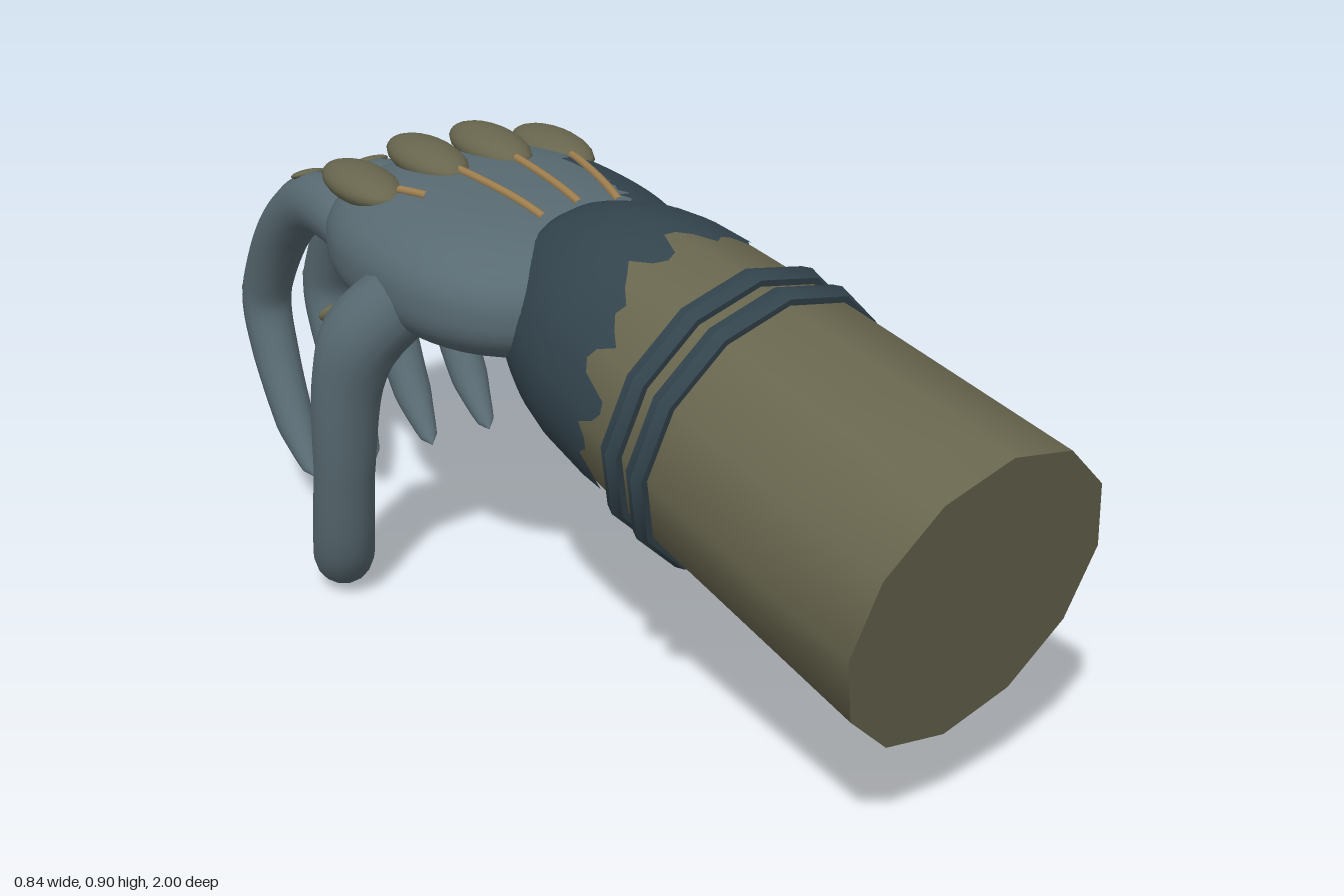
import * as THREE from 'three';
import { toCreasedNormals } from 'three/addons/utils/BufferGeometryUtils.js';

const mat = (name, color) => {
  const m = new THREE.MeshStandardMaterial({ color });
  m.name = name;
  return m;
};
const V = (p) => new THREE.Vector3(...p);

export function createModel() {
  const olive = mat('olive', 0x68664e);
  const slate = mat('slate', 0x586a72);
  const dark = mat('dark slate', 0x33444d);
  const tan = mat('tan', 0xa08050);
  const model = new THREE.Group();
  model.name = 'gauntletHand';

  const add = (name, geo, material, parent = model) => {
    const m = new THREE.Mesh(geo, material);
    m.name = name;
    parent.add(m);
    return m;
  };

  // Squashed ball, used for knuckles and joint pads
  const pad = (name, pos, scale, parent = model, material = olive) => {
    const m = add(name, new THREE.SphereGeometry(1, 20, 12), material, parent);
    m.position.set(...pos);
    m.scale.set(...scale);
    return m;
  };

  // Tube whose radius follows a list, one value per path point
  const taperedTube = (points, radii, segments = 48, sides = 16) => {
    const curve = new THREE.CatmullRomCurve3(points.map(V));
    const geo = new THREE.TubeGeometry(curve, segments, 1, sides);
    const pos = geo.attributes.position, v = new THREE.Vector3();
    for (let i = 0; i <= segments; i++) {
      const u = i / segments, c = curve.getPointAt(u);
      const k = curve.getUtoTmapping(u) * (radii.length - 1);
      const a = Math.min(Math.floor(k), radii.length - 2);
      const r = THREE.MathUtils.lerp(radii[a], radii[a + 1], k - a);
      for (let j = 0; j <= sides; j++) {
        const n = i * (sides + 1) + j;
        v.fromBufferAttribute(pos, n).sub(c).multiplyScalar(r).add(c);
        pos.setXYZ(n, v.x, v.y, v.z);
      }
    }
    return geo;
  };

  // ---- Forearm: local +y runs from the cut end to the wrist ----
  const arm = new THREE.Group();
  arm.name = 'forearm';
  const armStart = V([0.13, 0.478, 0.933]);
  const axis = V([0, 0.712, -0.17]).sub(armStart).normalize();
  arm.position.copy(armStart);
  arm.quaternion.setFromUnitVectors(new THREE.Vector3(0, 1, 0), axis);
  model.add(arm);

  const profile = [[0, 0.29], [0.5, 0.27], [0.75, 0.254], [0.87, 0.243], [0.94, 0.227],
    [1.0, 0.203], [1.06, 0.172], [1.11, 0.125], [1.137, 0.07], [1.145, 0]];
  const armRadius = (s) => {
    let i = 0;
    while (i < profile.length - 2 && s > profile[i + 1][0]) i++;
    const [s0, r0] = profile[i], [s1, r1] = profile[i + 1];
    return THREE.MathUtils.lerp(r0, r1, Math.min(1, (s - s0) / (s1 - s0)));
  };
  const armLoop = [[0, 0], ...[0, 0.25, 0.5, 0.75, 0.87].map((s) => [armRadius(s), s]), [0, 0.88]];
  const armGeo = new THREE.LatheGeometry(armLoop.map((p) => new THREE.Vector2(...p)), 12, 0.1);
  add('forearmSleeve', toCreasedNormals(armGeo, 0.9), olive, arm);

  // Two raised bands
  for (const s of [0.543, 0.617]) {
    const r = armRadius(s);
    const pts = [[-0.015, -0.021], [0.014, -0.021], [0.022, 0], [0.014, 0.021], [-0.015, 0.021]];
    const band = new THREE.LatheGeometry(pts.map(([d, y]) => new THREE.Vector2(r + d, s + y)), 12, 0.1);
    add('wristBand', toCreasedNormals(band, 0.6), dark, arm);
  }

  // Rounded wrist with a ragged edge
  const cuff = new THREE.CylinderGeometry(1, 1, 1, 72, 24, true, Math.PI);
  const cp = cuff.attributes.position;
  for (let i = 0; i < cp.count; i++) {
    const t = Math.atan2(cp.getX(i), cp.getZ(i));
    const edge = 0.74 + 0.05 * Math.cos(2 * t) + 0.018 * Math.sign(Math.sin(11 * t + 0.4))
      + 0.015 * Math.sin(17 * t + 1);
    const s = THREE.MathUtils.lerp(edge, 1.145, cp.getY(i) + 0.5);
    const r = s > 1.1449 ? 0 : armRadius(s) + 0.004;
    cp.setXYZ(i, Math.sin(t) * r, s, Math.cos(t) * r);
  }
  cuff.computeVertexNormals();
  add('wrist', cuff, dark, arm);

  // ---- Palm: a boxy ellipsoid ----
  const centre = [-0.02, 0.715, -0.29], half = [0.31, 0.137, 0.37], power = 2.5;
  const pw = (a) => Math.abs(a) ** power;
  const palmTop = (x, z) => centre[1] + half[1]
    * Math.max(0, 1 - pw((x - centre[0]) / half[0]) - pw((z - centre[2]) / half[2])) ** (1 / power);
  let palm = new THREE.SphereGeometry(1, 56, 40);
  const pp = palm.attributes.position;
  for (let i = 0; i < pp.count; i++) {
    const d = [pp.getX(i), pp.getY(i), pp.getZ(i)];
    const k = (pw(d[0]) + pw(d[1]) + pw(d[2])) ** (-1 / power);
    pp.setXYZ(i, ...d.map((c, n) => centre[n] + c * k * half[n]));
  }
  // Dark patch on the upper outer side, made with geometry groups
  palm = toCreasedNormals(palm, 1.2);
  const q = palm.attributes.position;
  for (let i = 0; i < q.count; i += 3) {
    const mid = (get) => (q[get](i) + q[get](i + 1) + q[get](i + 2)) / 3;
    const isDark = mid('getX') > 0.15 && mid('getY') > 0.742 && mid('getZ') > -0.37;
    palm.addGroup(i, 3, isDark ? 1 : 0);
  }
  add('palm', palm, [slate, dark]);

  // ---- Fingers, knuckles and tendons ----
  const fingerPath = [[-0.47, 0.70], [-0.5, 0.705], [-0.6, 0.727], [-0.7, 0.715], [-0.82, 0.63],
    [-0.915, 0.5], [-0.945, 0.415], [-0.915, 0.31], [-0.835, 0.17], [-0.76, 0.083], [-0.756, 0.08]];
  const fingerRadii = [0, 0.055, 0.062, 0.06, 0.056, 0.053, 0.051, 0.048, 0.04, 0.012, 0];
  const tendonEnds = [[-0.18, -0.31], [-0.055, -0.1], [0.035, -0.12], [0.115, -0.11]];
  [-0.222, -0.08, 0.06, 0.202].forEach((x, i) => {
    const finger = new THREE.Group();
    finger.name = 'finger';
    model.add(finger);
    add('fingerTube', taperedTube(fingerPath.map(([z, y]) => [x, y, z]), fingerRadii), slate, finger);
    pad('fingerJointPad', [x, 0.768, -0.72], [0.036, 0.009, 0.024], finger).rotation.x = -0.4;
    pad('fingerTipPad', [x, 0.435, -0.992], [0.034, 0.024, 0.008], finger);
    pad('knuckle', [x, palmTop(x, -0.49) + 0.006, -0.485], [0.06, 0.035, 0.125], finger);

    const [ex, ez] = tendonEnds[i], path = [];
    for (let k = 0; k <= 6; k++) {
      const tx = THREE.MathUtils.lerp(x * 0.9, ex, k / 6), tz = THREE.MathUtils.lerp(-0.38, ez, k / 6);
      path.push(V([tx, palmTop(tx, tz) + 0.003, tz]));
    }
    add('tendon', new THREE.TubeGeometry(new THREE.CatmullRomCurve3(path), 16, 0.008, 8), tan, finger);
  });

  // ---- Thumb ----
  const thumb = new THREE.Group();
  thumb.name = 'thumb';
  model.add(thumb);
  const thumbPath = [[-0.25, 0.71, -0.23], [-0.27, 0.69, -0.24], [-0.335, 0.61, -0.285],
    [-0.355, 0.51, -0.32], [-0.352, 0.3, -0.36], [-0.335, 0.11, -0.41], [-0.31, 0.058, -0.46],
    [-0.25, 0.065, -0.54], [-0.232, 0.07, -0.57], [-0.226, 0.071, -0.58]];
  const thumbRadii = [0, 0.075, 0.08, 0.069, 0.06, 0.062, 0.058, 0.045, 0.036, 0];
  add('thumbTube', taperedTube(thumbPath, thumbRadii), slate, thumb);
  pad('thumbJointPad', [-0.36, 0.635, -0.352], [0.034, 0.02, 0.012], thumb).rotation.x = 0.4;
  pad('thumbTipPad', [-0.325, 0.125, -0.463], [0.034, 0.016, 0.014], thumb);

  return model;
}
